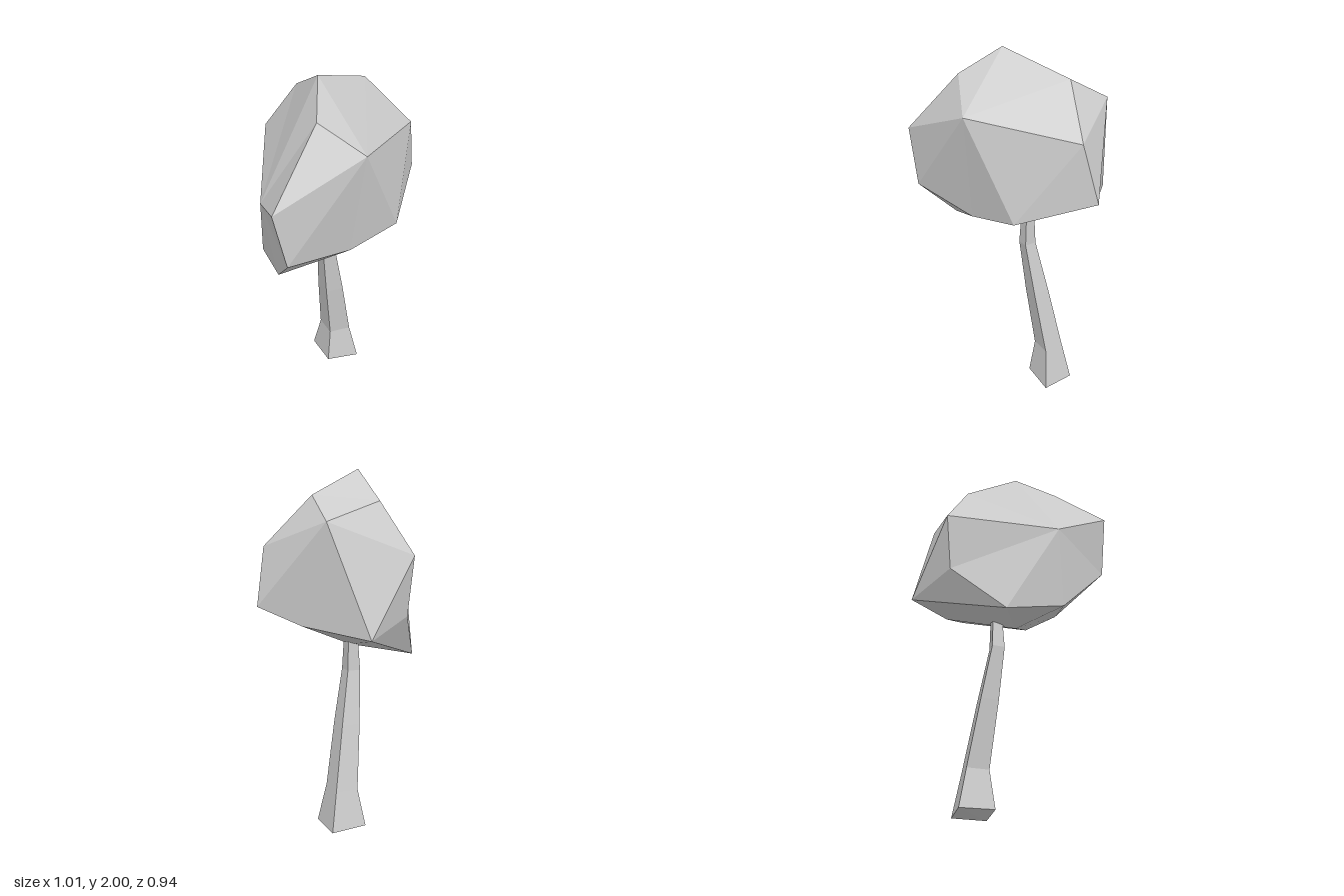
import * as THREE from 'three';
import { ConvexGeometry } from 'three/addons/geometries/ConvexGeometry.js';

const material = new THREE.MeshStandardMaterial({ color: 0xcccccc, flatShading: true });

// Crown corners, from the top down
const crownPoints = [
  [-0.125, 2, 0.1], [0.21, 1.87, -0.085], [-0.22, 1.87, 0.31], [-0.12, 1.84, -0.2],
  [0.22, 1.75, -0.32], [-0.01, 1.7, 0.41], [0.445, 1.61, 0.01], [-0.25, 1.57, -0.35],
  [-0.51, 1.54, 0.475], [-0.48, 1.45, 0.215], [0.505, 1.305, -0.05], [-0.23, 1.25, -0.32],
  [-0.445, 1.23, 0.47], [0.31, 1.215, -0.2], [0.24, 1.18, 0.28], [0.04, 1.17, -0.47],
  [-0.06, 1.14, 0.35], [-0.42, 1.02, 0.25], [-0.08, 1.02, 0.1], [-0.4, 0.97, -0.06],
].map((p) => new THREE.Vector3(...p));

// Wrap the corners on a unit sphere to connect them, then move each back to its place,
// so that shallow dents survive
function crownGeometry() {
  const centre = new THREE.Vector3(0, 1.45, 0.03);
  const directions = crownPoints.map((p) => p.clone().sub(centre).normalize());
  const geometry = new ConvexGeometry(directions);
  const pos = geometry.attributes.position;
  const v = new THREE.Vector3();
  for (let i = 0; i < pos.count; i++) {
    v.fromBufferAttribute(pos, i);
    let best = 0;
    directions.forEach((d, k) => {
      if (d.distanceTo(v) < directions[best].distanceTo(v)) best = k;
    });
    pos.setXYZ(i, ...crownPoints[best].toArray());
  }
  geometry.computeVertexNormals();
  return geometry;
}

// Trunk sections from the ground up: height, centre x, centre z, half width
const sections = [
  [0.012, 0.053, -0.094, 0.098],
  [0.23, 0.046, -0.086, 0.063],
  [0.6, -0.005, -0.036, 0.051],
  [0.9, -0.046, 0.003, 0.036],
  [1.12, -0.043, 0, 0.026],
];

// Four-sided leaning trunk, each ring of a box column moved to its section
function trunkGeometry() {
  const rows = sections.length - 1;
  const geometry = new THREE.BoxGeometry(2, rows, 2, 1, rows, 1);
  const pos = geometry.attributes.position;
  for (let i = 0; i < pos.count; i++) {
    const row = Math.round(pos.getY(i) + rows / 2);
    const [y, cx, cz, h] = sections[row];
    const sx = pos.getX(i);
    const sz = pos.getZ(i);
    const tilt = row === 0 ? -0.01 * sx + 0.002 * sz * (1 - sx) / 2 : 0;
    pos.setXYZ(i, cx + h * (sx + 0.09 * sz), y + tilt, cz + h * (sz + 0.07 * sx));
  }
  geometry.computeVertexNormals();
  return geometry;
}

export function createModel() {
  const tree = new THREE.Group();
  tree.name = 'tree';
  const parts = { trunk: trunkGeometry(), crown: crownGeometry() };
  for (const [name, geometry] of Object.entries(parts)) {
    const mesh = new THREE.Mesh(geometry, material);
    mesh.name = name;
    tree.add(mesh);
  }
  return tree;
}
